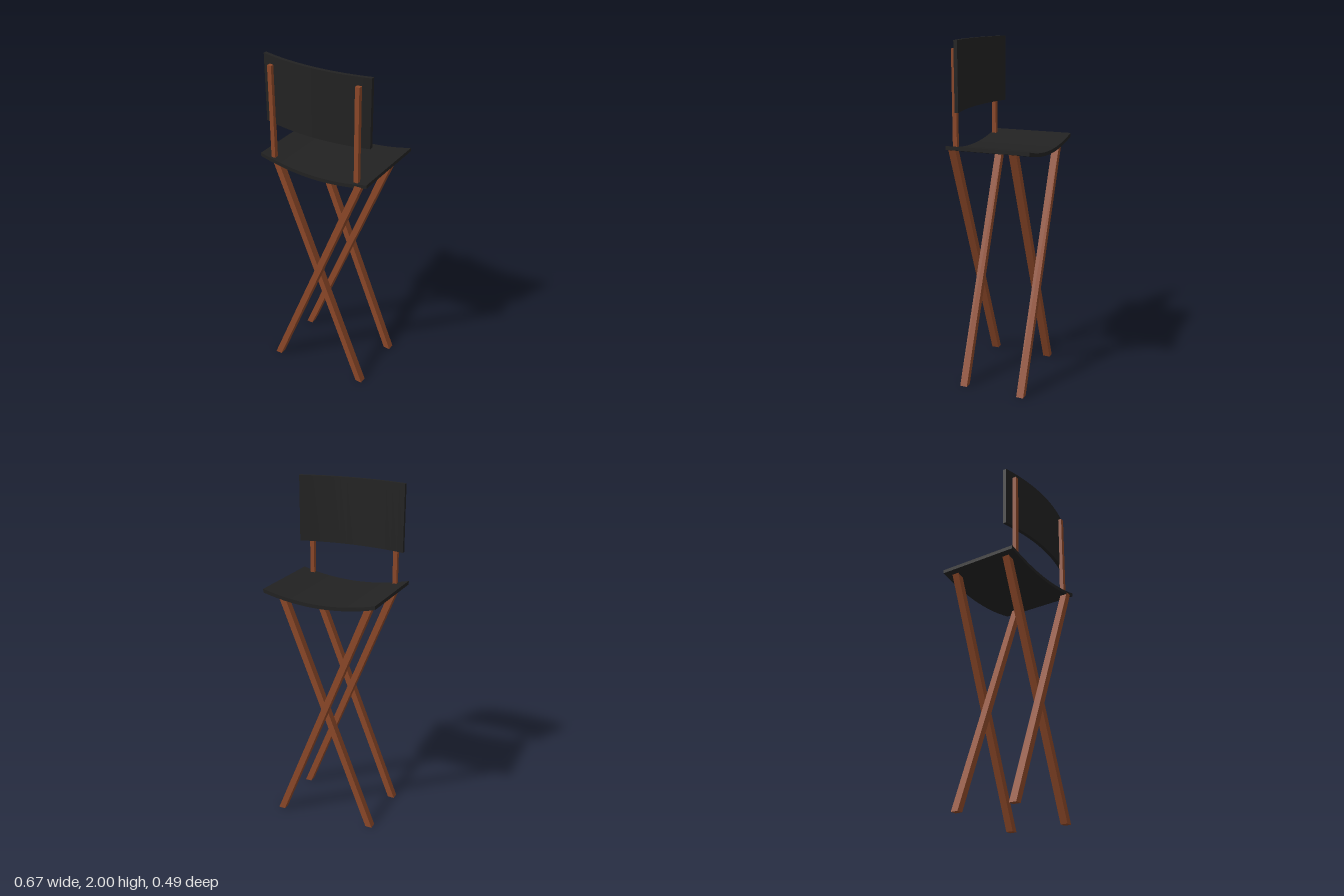
import * as THREE from 'three';

const wood = new THREE.MeshStandardMaterial({ color: 0x8b4728 });
const canvas = new THREE.MeshStandardMaterial({ color: 0x222222 });

function addPart(parent, name, geometry, material) {
  const mesh = new THREE.Mesh(geometry, material);
  mesh.name = name;
  parent.add(mesh);
  return mesh;
}

// Sagging fabric strip: parabolic cross-section in XY, extruded along +z
function sagStrip(halfWidth, midHeight, rise, thickness, depth) {
  const steps = 16;
  const bottom = [];
  for (let i = 0; i <= steps; i++) {
    const t = (2 * i) / steps - 1;
    bottom.push(new THREE.Vector2(t * halfWidth, midHeight + rise * t * t));
  }
  const top = bottom.map((p) => new THREE.Vector2(p.x, p.y + thickness)).reverse();
  return new THREE.ExtrudeGeometry(new THREE.Shape([...bottom, ...top]), { depth, bevelEnabled: false });
}

// Slanted leg with level-cut ends, running from x = -dir*0.285 up to x = +dir*0.285
function legGeometry(dir) {
  const x = 0.285 * dir, w = 0.02, h = 1.415;
  const outline = new THREE.Shape([
    new THREE.Vector2(-x - w, 0), new THREE.Vector2(-x + w, 0),
    new THREE.Vector2(x + w, h), new THREE.Vector2(x - w, h),
  ]);
  return new THREE.ExtrudeGeometry(outline, { depth: 0.043, bevelEnabled: false });
}

export function createModel() {
  const chair = new THREE.Group();
  chair.name = 'foldingChair';

  // Seat sling
  const seat = addPart(chair, 'seat', sagStrip(0.336, 1.375, 0.044, 0.021, 0.488), canvas);
  seat.position.z = -0.244;

  // Curved backrest: same strip, turned so the sag points to +z
  const backGeometry = sagStrip(0.322, -0.2355, 0.044, 0.0215, 0.38);
  backGeometry.rotateX(-Math.PI / 2);
  const back = addPart(chair, 'backrest', backGeometry, canvas);
  back.position.y = 1.62;

  // Backrest posts
  for (const side of [-1, 1]) {
    const post = addPart(chair, side > 0 ? 'leftPost' : 'rightPost', new THREE.BoxGeometry(0.025, 0.53, 0.025), wood);
    post.position.set(side * 0.263, 1.69, 0.2175);
  }

  // Two crossed pairs of legs
  for (const [name, z] of [['front', 0.201], ['rear', -0.157]]) {
    const pair = new THREE.Group();
    pair.name = `${name}Legs`;
    addPart(pair, `${name}OuterLeg`, legGeometry(1), wood).position.z = z;
    addPart(pair, `${name}InnerLeg`, legGeometry(-1), wood).position.z = z - 0.046;
    chair.add(pair);
  }
  return chair;
}
